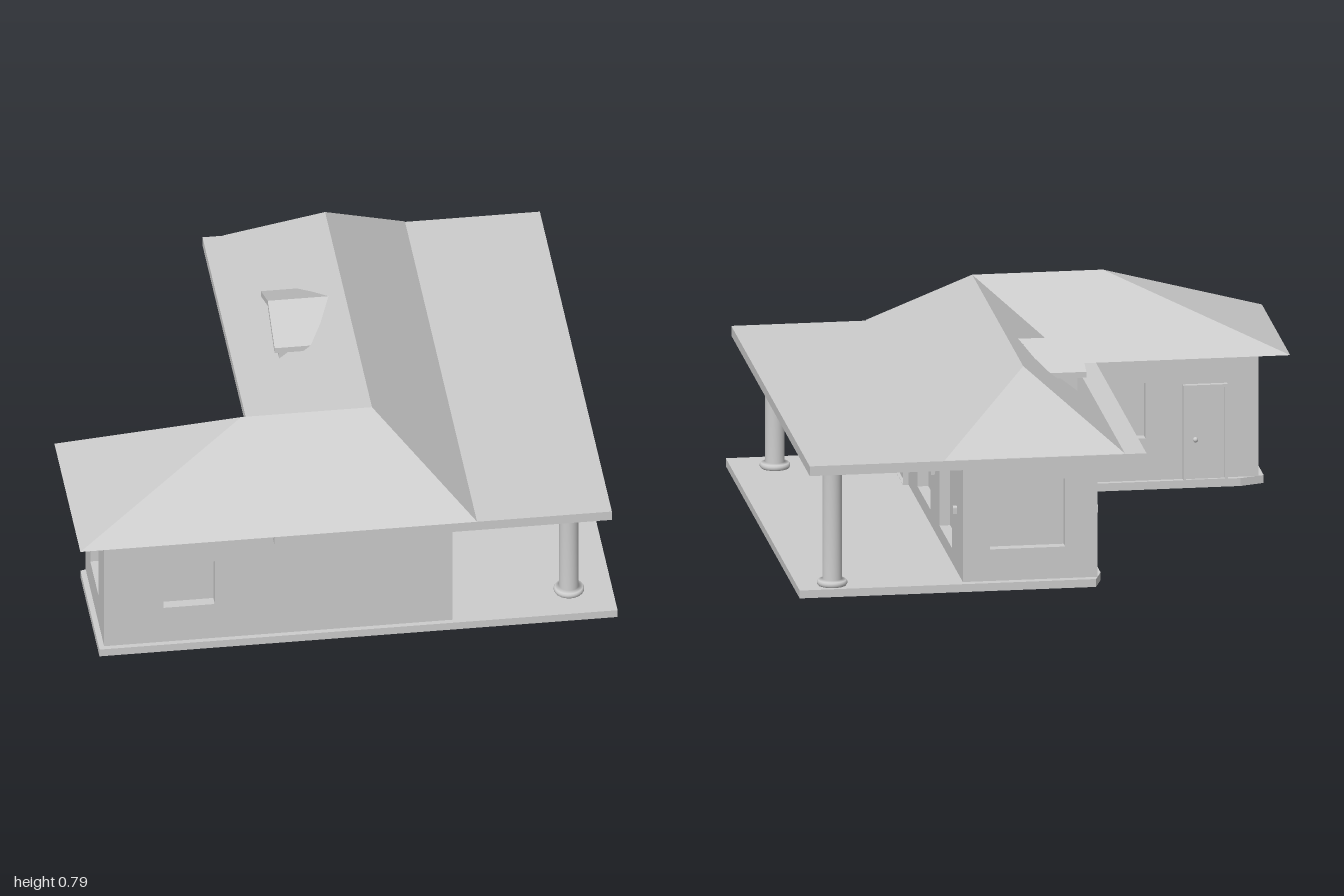
import * as THREE from 'three';

export function createModel() {
  const house = new THREE.Group();
  house.name = 'house';
  const plaster = new THREE.MeshStandardMaterial({ color: 0xcccccc });
  plaster.name = 'light grey';

  const add = (parent, name, geometry, x = 0, y = 0, z = 0) => {
    const mesh = new THREE.Mesh(geometry, plaster);
    mesh.name = name;
    mesh.position.set(x, y, z);
    parent.add(mesh);
    return mesh;
  };
  const group = (name, x, y, z, turn = 0) => {
    const g = new THREE.Group();
    g.name = name;
    g.position.set(x, y, z);
    g.rotation.y = turn;
    house.add(g);
    return g;
  };
  // Box given by its limits on each axis
  const block = (parent, name, x0, x1, y0, y1, z0, z1) =>
    add(parent, name, new THREE.BoxGeometry(x1 - x0, y1 - y0, z1 - z0),
      (x0 + x1) / 2, (y0 + y1) / 2, (z0 + z1) / 2);
  const polygon = (points) => new THREE.Shape(points.map(([x, y]) => new THREE.Vector2(x, y)));
  const rect = (x0, x1, y0, y1) => polygon([[x0, y0], [x1, y0], [x1, y1], [x0, y1]]);
  const extrude = (shape, depth) => new THREE.ExtrudeGeometry(shape, { depth, bevelEnabled: false });
  // Flat faces, each a convex list of named corners, counter-clockwise from outside
  const faces = (corners, loops) => {
    const positions = [];
    for (const loop of loops) {
      for (let i = 1; i < loop.length - 1; i++) {
        for (const key of [loop[0], loop[i], loop[i + 1]]) positions.push(...corners[key]);
      }
    }
    const g = new THREE.BufferGeometry();
    g.setAttribute('position', new THREE.Float32BufferAttribute(positions, 3));
    g.computeVertexNormals();
    return g;
  };

  // L-shaped floor slab with two clipped corners
  const floor = polygon([[-0.92, 0.92], [-0.92, 0.4], [-0.83, 0.37], [-0.13, 0.37],
    [-0.13, -0.85], [-0.1, -0.94], [1, -0.94], [1, 0.92]]);
  const floorGeometry = extrude(floor, 0.03);
  floorGeometry.rotateX(Math.PI / 2);
  add(house, 'floorSlab', floorGeometry, 0, 0.03, 0);

  // Wall panels with window openings, over a solid core that closes the recesses
  const T = 0.04, FLOOR = 0.03, EAVE = 0.515;
  const W = -0.9, E = 0.39, MID = -0.11, S = 0.9, N = -0.91, INNER = 0.39;
  block(house, 'mainCore', MID + T, E - T, FLOOR, EAVE, N + T, S - T);
  block(house, 'wingCore', W + T, MID + T, FLOOR, EAVE, INNER + T, S - T);

  // Windows: [from, to, sill, head], measured along the wall's own axis
  const wall = (name, x, z, turn, start, end, windows) => {
    const shape = rect(0, Math.abs(end - start), FLOOR, EAVE);
    for (const [a, b, sill, head] of windows) {
      const u = [Math.abs(a - start), Math.abs(b - start)].sort((p, q) => p - q);
      shape.holes.push(rect(u[0], u[1], sill, head));
    }
    add(group(name, x, 0, z, turn), name + 'Panel', extrude(shape, T), 0, 0, -T);
  };
  const Q = Math.PI / 2;
  wall('frontWall', W, S, 0, W, E, [[-0.68, -0.49, 0.18, 0.37]]);
  wall('porchWall', E, S, Q, S, N, [[0.23, -0.1, 0.085, 0.41], [-0.32, -0.64, 0.085, 0.41]]);
  wall('backWall', E, N, 2 * Q, E, MID, [[0.29, 0.01, 0.15, 0.41]]);
  wall('courtWall', MID, N, -Q, N, INNER, [[-0.71, -0.39, 0.085, 0.41], [-0.16, 0.16, 0.085, 0.41]]);
  wall('wingBackWall', MID, INNER, 2 * Q, MID, W, [[-0.26, -0.48, 0.19, 0.4]]);
  wall('wingEndWall', W, INNER, -Q, INNER, S, [[0.52, 0.75, 0.15, 0.41]]);

  // Doors: frame, leaf and knob, facing local +z
  const door = (x, z, turn, width) => {
    const g = group('door', x, FLOOR, z, turn);
    const w = width / 2;
    const frame = rect(-w, w, 0, 0.36);
    frame.holes.push(rect(-w + 0.01, w - 0.01, 0.001, 0.35));
    add(g, 'doorFrame', extrude(frame, 0.02));
    block(g, 'doorLeaf', -w + 0.01, w - 0.01, 0, 0.35, 0, 0.008);
    add(g, 'doorKnob', new THREE.SphereGeometry(0.01, 12, 8), -w + 0.045, 0.153, 0.02);
  };
  door(E, 0.553, Q, 0.195);
  door(-0.7, INNER, 2 * Q, 0.165);

  // Wall lamps
  const lamp = (x, z, turn) => {
    const g = group('wallLamp', x, 0.25, z, turn);
    block(g, 'lampBody', -0.009, 0.009, 0, 0.02, 0, 0.015);
    const cap = new THREE.CylinderGeometry(0.009, 0.009, 0.015, 12);
    cap.rotateX(Q);
    add(g, 'lampCap', cap, 0, 0.02, 0.0075);
  };
  for (const z of [0.33, -0.205, -0.755]) lamp(E, z, Q);
  for (const z of [0.28, -0.27, -0.81]) lamp(MID, z, -Q);

  // Porch columns with rounded base and cap
  const ring = [[0.036, 0], [0.052, 0], [0.056, 0.006], [0.056, 0.014], [0.052, 0.02], [0.036, 0.024]];
  const profile = [[0, 0], ...ring, ...ring.map(([r, y]) => [r, 0.455 - y]).reverse(), [0, 0.455]]
    .map(([r, y]) => new THREE.Vector2(r, y));
  for (const [x, z] of [[0.84, 0.768], [0.87, -0.873]]) {
    add(house, 'porchColumn', new THREE.LatheGeometry(profile, 32), x, FLOOR, z);
  }

  // Flat eave slab reaching over the porch
  block(house, 'eaveSlab', -0.28, 0.97, 0.478, 0.515, -0.99, 0.985);

  // L-shaped hip roof with a closed underside
  const B = 0.517, R = 0.785;
  const hip = {
    sw: [-1, B, 0.988], se: [0.47, B, 0.988], ne: [0.47, B, -0.99], nw: [-0.2, B, -0.99],
    valley: [-0.2, B, 0.275], wing: [-1, B, 0.275], south: [-0.2, B, 0.988],
    ridgeW: [-0.35, R, 0.585], ridgeC: [0.135, R, 0.585], ridgeN: [0.135, R, -0.7],
  };
  add(house, 'hipRoof', faces(hip, [
    ['sw', 'se', 'ridgeC', 'ridgeW'], ['se', 'ne', 'ridgeN', 'ridgeC'], ['ne', 'nw', 'ridgeN'],
    ['nw', 'valley', 'ridgeC', 'ridgeN'], ['valley', 'wing', 'ridgeW', 'ridgeC'],
    ['wing', 'sw', 'ridgeW'],
    ['wing', 'valley', 'south', 'sw'], ['nw', 'ne', 'se', 'south'],
  ]));

  // Gabled dormer on the inner slope: small roof with thickness, then its front body
  const dormer = group('dormer', 0, 0, -0.202);
  const F = -0.145, D = 0.188, H = 0.022;
  const cap = {
    ridgeF: [F, 0.752, 0], ridgeB: [0.08, 0.752, 0],
    leftF: [F, 0.668, D], leftB: [0, 0.668, D], rightF: [F, 0.668, -D], rightB: [0, 0.668, -D],
    ridgeFu: [F, 0.752 - H, 0], ridgeBu: [0.08, 0.752 - H, 0],
    leftFu: [F, 0.668 - H, D], leftBu: [0, 0.668 - H, D],
    rightFu: [F, 0.668 - H, -D], rightBu: [0, 0.668 - H, -D],
  };
  add(dormer, 'dormerRoof', faces(cap, [
    ['leftF', 'leftB', 'ridgeB', 'ridgeF'], ['rightB', 'rightF', 'ridgeF', 'ridgeB'],
    ['leftFu', 'ridgeFu', 'ridgeBu', 'leftBu'], ['rightBu', 'ridgeBu', 'ridgeFu', 'rightFu'],
    ['leftFu', 'leftF', 'ridgeF', 'ridgeFu'], ['ridgeFu', 'ridgeF', 'rightF', 'rightFu'],
    ['leftFu', 'leftBu', 'leftB', 'leftF'], ['rightBu', 'rightFu', 'rightF', 'rightB'],
  ]));
  const body = extrude(polygon([[-0.13, 0.56], [0.13, 0.56], [0.13, 0.675], [0, 0.735], [-0.13, 0.675]]), 0.12);
  body.rotateY(Q);
  add(dormer, 'dormerBody', body, -0.12, 0, 0);

  return house;
}
